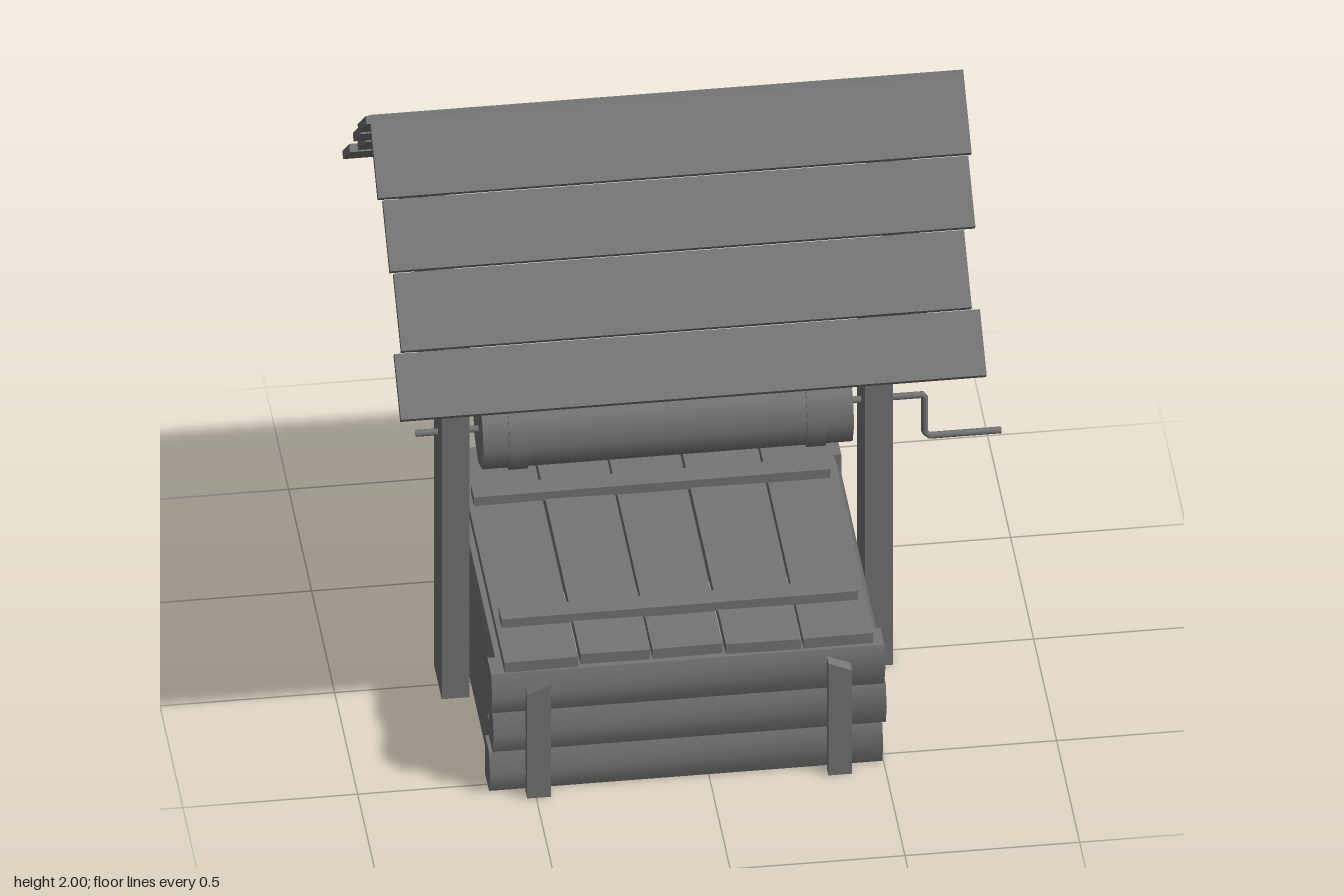
import * as THREE from 'three';
import { toCreasedNormals } from 'three/addons/utils/BufferGeometryUtils.js';

const material = new THREE.MeshStandardMaterial({ color: 0x767676 });

export function createModel() {
  const well = new THREE.Group();
  well.name = 'well';

  const add = (name, geometry, parent = well) => {
    const mesh = new THREE.Mesh(geometry, material);
    mesh.name = name;
    parent.add(mesh);
    return mesh;
  };
  // Box given by its limits on each axis
  const box = (name, [x0, x1], [y0, y1], [z0, z1], parent = well) => {
    const mesh = add(name, new THREE.BoxGeometry(x1 - x0, y1 - y0, z1 - z0), parent);
    mesh.position.set((x0 + x1) / 2, (y0 + y1) / 2, (z0 + z1) / 2);
    return mesh;
  };
  // Eight-sided bar along x
  const bar = (name, x0, x1, y, z, r) => {
    const geometry = new THREE.CylinderGeometry(r, r, x1 - x0, 8).rotateZ(Math.PI / 2);
    add(name, geometry).position.set((x0 + x1) / 2, y, z);
  };
  // Outline extruded along z
  const extrude = (points, depth) => new THREE.ExtrudeGeometry(
    new THREE.Shape(points.map(([x, y]) => new THREE.Vector2(x, y))), { depth, bevelEnabled: false });

  // Curb: three courses of half logs, rounded outside and flat inside
  const logH = 0.135;
  const log = (name, length, inner, angle) => {
    const geometry = extrude(
      [[inner, 0], [0.03, 0], [0.053, logH / 2], [0.03, logH], [inner, logH]], length);
    const mesh = add(name, toCreasedNormals(geometry.translate(0, 0, -length / 2), 0.8));
    mesh.rotation.y = angle;
    return mesh;
  };
  const shift = [-0.006, 0.004, 0];
  for (let i = 0; i < 3; i++) {
    const y = i * logH;
    const inner = i === 1 ? -0.044 : -0.053; // the middle course is slightly thinner
    log('frontLog', 1.125, inner, -Math.PI / 2).position.set(-0.06 + shift[i], y, 0.503);
    log('backLog', 1.125, inner, Math.PI / 2).position.set(-0.06 + shift[i], y, -0.455);
    log('leftLog', 0.865, inner, 0).position.set(0.45, y, 0.02);
    log('rightLog', 0.865, inner, Math.PI).position.set(-0.57, y, 0.02);
  }

  // Stakes with slanted tops, holding the logs
  for (const z of [0.547, -0.547]) {
    for (const [x, side] of [[-0.492, -1], [0.37, 1]]) {
      const geometry = extrude([
        [-0.034, 0], [0.034, 0], [0.034, side < 0 ? 0.39 : 0.36], [-0.034, side < 0 ? 0.36 : 0.39],
      ], 0.037);
      add('stake', geometry).position.set(x, 0, z);
    }
  }

  // Lid: five planks and two battens
  const seams = [-0.588, -0.37, -0.163, 0.045, 0.268, 0.475];
  for (let i = 0; i < 5; i++) {
    const y = 0.408 + (i % 2) * 0.004;
    const plank = box('lidPlank', [seams[i] + 0.004, seams[i + 1] - 0.004], [y, y + 0.034],
      [-0.523 + (i % 2) * 0.008, 0.532 - (i % 3) * 0.006]);
    plank.rotation.z = (i % 2 ? -1 : 1) * 0.012;
  }
  box('lidBatten', [-0.57, 0.45], [0.443, 0.473], [0.3, 0.362]).rotation.z = 0.004;
  box('lidBatten', [-0.57, 0.45], [0.443, 0.473], [-0.3, -0.238]).rotation.z = 0.004;

  // Frame: two posts and the tie beam
  box('rightPost', [-0.703, -0.623], [0, 1.29], [-0.098, 0.072]);
  box('leftPost', [0.508, 0.588], [0, 1.29], [-0.098, 0.072]);
  box('topBeam', [-0.727, 0.606], [1.283, 1.345], [-0.08, 0.08]);

  // Winch drum with bands, axle and crank
  const axleY = 0.872, axleZ = -0.014;
  bar('drum', -0.587, 0.473, axleY, axleZ, 0.118);
  bar('drumBand', -0.512, -0.457, axleY, axleZ, 0.125);
  bar('drumBand', 0.34, 0.395, axleY, axleZ, 0.125);
  const crank = new THREE.CurvePath();
  const bends = [[-0.764, axleY], [0.685, axleY], [0.69, axleY - 0.005],
    [0.69, 0.742], [0.704, 0.728], [0.907, 0.728]].map(([x, y]) => new THREE.Vector3(x, y, axleZ));
  for (let i = 0; i < bends.length - 1; i++) crank.add(new THREE.LineCurve3(bends[i], bends[i + 1]));
  add('crank', new THREE.TubeGeometry(crank, 240, 0.01, 8));
  for (const [x, y] of [[-0.764, axleY], [0.907, 0.728]]) bar('crankEnd', x - 0.002, x + 0.002, y, axleZ, 0.01);

  // Gable frames: king post and cross tie at each end
  const gables = [[-0.754, -0.7], [0.583, 0.632]];
  for (const xs of gables) {
    box('kingPost', xs, [0.972, 1.865], [-0.058, 0.03]);
    box('crossTie', xs, [1.36, 1.435], [-0.543, 0.52]);
  }

  // Roof slopes: boards and rafters are laid flat from the ridge, then tipped
  const slopes = [
    { name: 'frontRoof', side: 1, cuts: [0, 0.25, 0.464, 0.697, 0.896],
      spans: [[-0.898, 0.8], [-0.885, 0.79], [-0.875, 0.757], [-0.896, 0.78]] },
    { name: 'backRoof', side: -1, cuts: [0, 0.24, 0.453, 0.68, 0.882],
      spans: [[-0.91, 0.79], [-0.903, 0.776], [-0.868, 0.767], [-0.891, 0.787]] },
  ];
  for (const { name, side, cuts, spans } of slopes) {
    const slope = new THREE.Group();
    slope.name = name;
    // Limits along the slope, measured from the ridge
    const along = (a, b) => (side > 0 ? [a, b] : [-b, -a]);
    spans.forEach((span, k) => {
      const board = box('roofBoard', span, [-0.024, 0], along(cuts[k], cuts[k + 1] - 0.006), slope);
      board.rotation.x = -0.02 * side;
    });
    for (const xs of gables) box('rafter', xs, [-0.068, -0.024], along(0.005, 0.866), slope);
    slope.position.set(0, 1.998, -0.01);
    slope.rotation.x = side * THREE.MathUtils.degToRad(42.2);
    well.add(slope);
  }

  return well;
}
